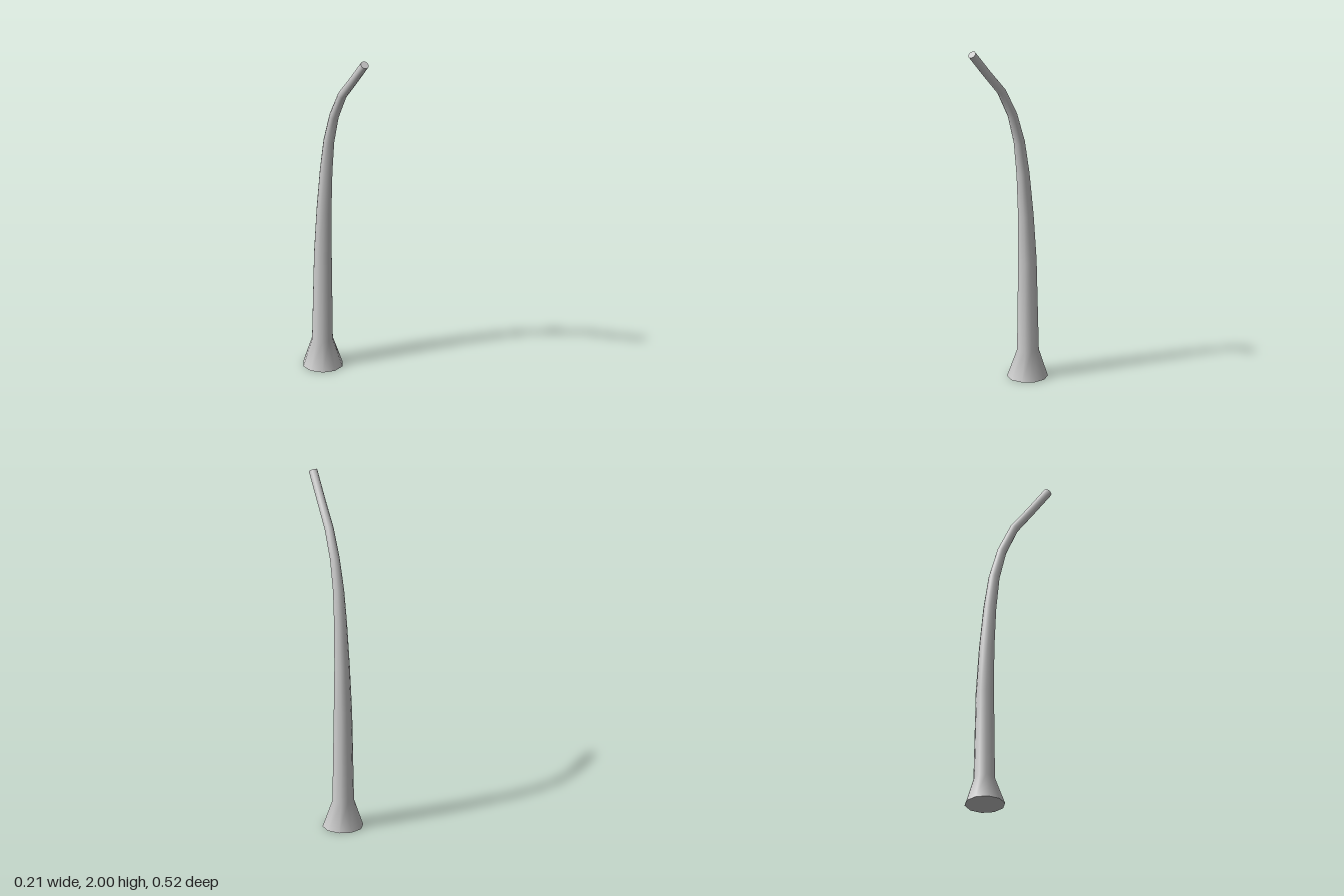
import * as THREE from 'three';

const SIDES = 10;

// Rings from foot to tip: height, depth, radius, forward tilt
const RINGS = [
  [0, -0.15, 0.113, 0],
  [0.155, -0.154, 0.06, 0],
  [0.68, -0.15, 0.051, 0.02],
  [0.95, -0.139, 0.043, 0.06],
  [1.2, -0.119, 0.036, 0.12],
  [1.39, -0.093, 0.031, 0.22],
  [1.56, -0.045, 0.027, 0.39],
  [1.717, 0.032, 0.025, 0.56],
  [1.841, 0.132, 0.024, 0.66],
  [1.982, 0.241, 0.024, 0.65],
];

// Points of one tilted ring, anticlockwise seen from above
function ringPoints([y, z, r, tilt]) {
  return Array.from({ length: SIDES }, (_, i) => {
    const a = (i / SIDES) * Math.PI * 2;
    const d = r * Math.cos(a);
    return [r * Math.sin(a), y - d * Math.sin(tilt), z + d * Math.cos(tilt)];
  });
}

function makeMesh(name, points, index) {
  const geometry = new THREE.BufferGeometry();
  geometry.setAttribute('position', new THREE.Float32BufferAttribute(points.flat(), 3));
  geometry.setIndex(index);
  geometry.computeVertexNormals();
  const mesh = new THREE.Mesh(geometry, new THREE.MeshStandardMaterial({ color: 0xcccccc }));
  mesh.name = name;
  return mesh;
}

// Smooth skin joining neighbouring rings
function makeSkin() {
  const index = [];
  for (let k = 0; k < RINGS.length - 1; k++) {
    for (let i = 0; i < SIDES; i++) {
      const j = (i + 1) % SIDES;
      const a = k * SIDES + i, b = k * SIDES + j;
      index.push(a, b, b + SIDES, a, b + SIDES, a + SIDES);
    }
  }
  return makeMesh('curvedPole', RINGS.flatMap(ringPoints), index);
}

// Flat end cap
function makeCap(name, ring, up) {
  const index = [];
  for (let i = 1; i < SIDES - 1; i++) index.push(0, up ? i : i + 1, up ? i + 1 : i);
  return makeMesh(name, ringPoints(ring), index);
}

export function createModel() {
  const group = new THREE.Group();
  group.name = 'lampPost';
  group.add(
    makeSkin(),
    makeCap('footCap', RINGS[0], false),
    makeCap('tipCap', RINGS[RINGS.length - 1], true)
  );
  return group;
}
